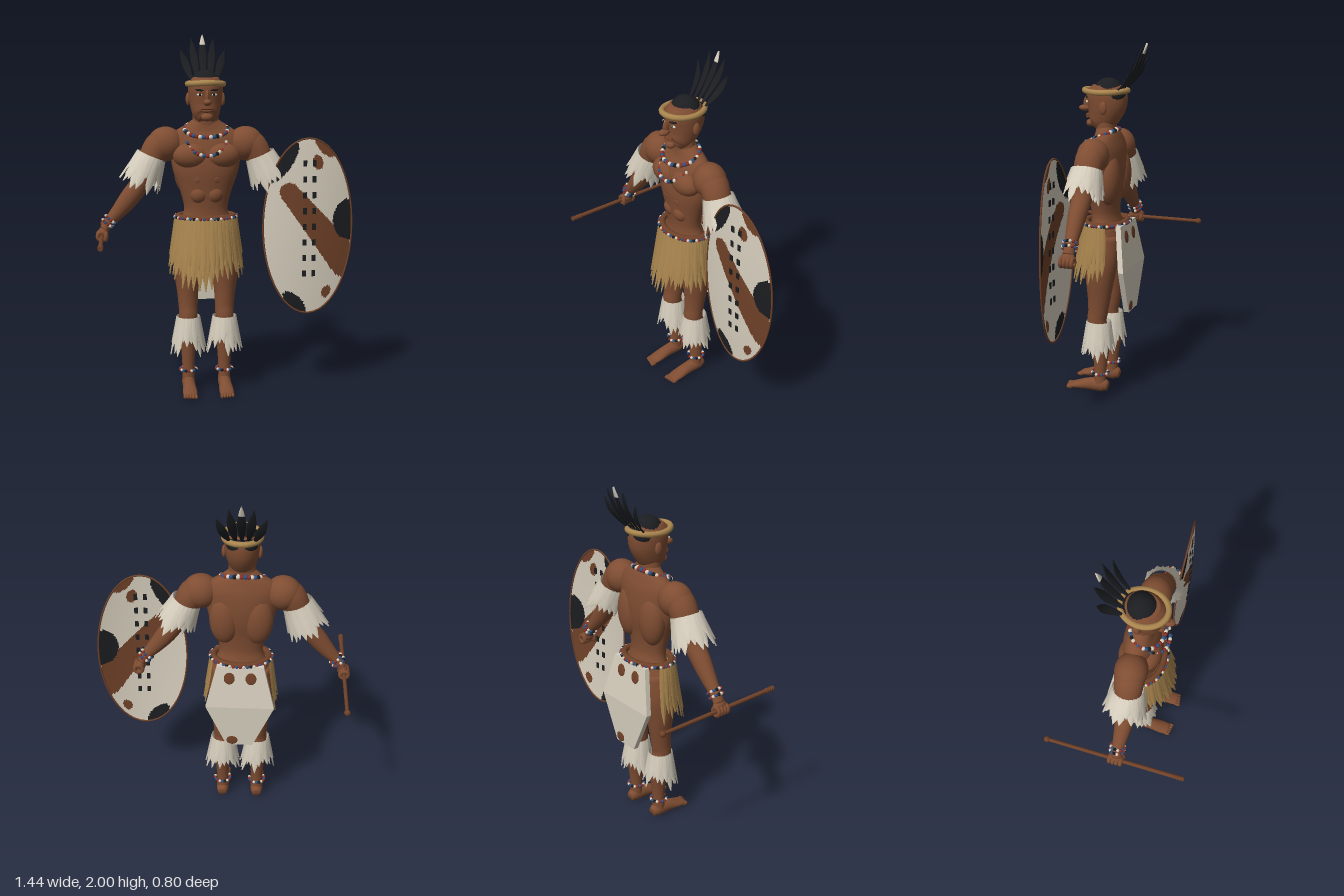
import * as THREE from 'three';
import { ConvexGeometry } from 'three/addons/geometries/ConvexGeometry.js';

const V = (x, y, z) => new THREE.Vector3(x, y, z);
const mat = (name, color, side = THREE.FrontSide) => {
  const m = new THREE.MeshStandardMaterial({ color, side });
  m.name = name;
  return m;
};
const skin = mat('skin', 0x7f4d32);
const hide = mat('cream hide', 0xd6cebd, THREE.DoubleSide);
const brown = mat('brown hide', 0x6f4128, THREE.DoubleSide);
const straw = mat('straw', 0xa9854e, THREE.DoubleSide);
const black = mat('black', 0x1b1d20, THREE.DoubleSide);
const red = mat('red bead', 0x8f2f24);
const blue = mat('blue bead', 0x2f5285);

let seed = 7;
const rand = () => (seed = (seed * 16807) % 2147483647) / 2147483647;

function add(parent, name, geo, material) {
  const m = new THREE.Mesh(geo, material);
  m.name = name;
  parent.add(m);
  return m;
}
const sphere = new THREE.SphereGeometry(1, 24, 16);
const bead = new THREE.SphereGeometry(1, 10, 8);
function ball(parent, name, material, p, r) {
  const m = add(parent, name, sphere, material);
  m.position.set(...p);
  m.scale.set(...r);
  return m;
}

// Smooth closed skin through rings [x, y, z, radius across, radius deep]
function limb(rings, ref = V(0, 0, 1), n = 28) {
  const path = new THREE.CatmullRomCurve3(rings.map(r => V(r[0], r[1], r[2])), false, 'catmullrom');
  const size = new THREE.CatmullRomCurve3(rings.map(r => V(r[3], r[4], 0)), false, 'catmullrom');
  const rows = (rings.length - 1) * 5, pos = [], idx = [];
  for (let i = 0; i <= rows; i++) {
    const c = path.getPoint(i / rows), s = size.getPoint(i / rows), t = path.getTangent(i / rows);
    const w = ref.clone().addScaledVector(t, -ref.dot(t)).normalize();
    const u = t.clone().cross(w);
    for (let j = 0; j < n; j++) {
      const a = j / n * Math.PI * 2;
      const p = c.clone().addScaledVector(u, s.x * Math.cos(a)).addScaledVector(w, s.y * Math.sin(a));
      pos.push(p.x, p.y, p.z);
      const k = i * n + j, l = i * n + (j + 1) % n;
      if (i < rows) idx.push(k, k + n, l, k + n, l + n, l);
    }
  }
  const s = pos.length / 3, last = rows * n;
  pos.push(...rings[0].slice(0, 3), ...rings[rings.length - 1].slice(0, 3));
  for (let j = 0; j < n; j++) {
    const k = (j + 1) % n;
    idx.push(s, j, k, s + 1, last + k, last + j);
  }
  return surface(pos, idx);
}
function surface(pos, idx) {
  const g = new THREE.BufferGeometry();
  g.setAttribute('position', new THREE.Float32BufferAttribute(pos, 3));
  g.setIndex(idx);
  g.computeVertexNormals();
  return g;
}

// Ring of tapering, ridged strips hanging down from y = 0
function fringe(n, a0, a1, top, bot, len, lenMax, wide) {
  const pos = [], idx = [], widths = [1, 1, 0.75, 0.08];
  for (let i = 0; i < n; i++) {
    const a = a0 + (a1 - a0) * (i + 0.5) / n, half = wide * (a1 - a0) / n, L = len(a);
    [0, 0.4, 0.75, 1].forEach((t, row) => {
      for (let k = -1; k <= 1; k++) {
        const g = a + k * half * widths[row], f = t * L / lenMax;
        const out = (k === 0 ? 0.006 : 0) + (i % 2) * 0.006 * t;
        const r = q => THREE.MathUtils.lerp(top[q], bot[q], f) + out;
        pos.push(Math.sin(g) * r(0), -t * L, Math.cos(g) * r(1));
      }
      for (let k = 0; k < 2 && row < 3; k++) {
        const v = i * 12 + row * 3 + k;
        idx.push(v, v + 3, v + 1, v + 3, v + 4, v + 1);
      }
    });
  }
  return surface(pos, idx);
}

// Beads in repeating colours along a closed path f(angle)
function beads(parent, name, f, n, r) {
  const g = new THREE.Group(), cycle = [red, hide, blue, black, hide, red, blue];
  g.name = name;
  for (let i = 0; i < n; i++) {
    const m = add(g, 'bead', bead, cycle[i % 7]);
    m.position.copy(f(i / n * Math.PI * 2));
    m.scale.setScalar(r);
  }
  parent.add(g);
  return g;
}
function hoop(f, r) {
  const pts = Array.from({ length: 24 }, (_, i) => f(i / 24 * Math.PI * 2));
  return new THREE.TubeGeometry(new THREE.CatmullRomCurve3(pts, true), 64, r, 10, true);
}
const ring = (y, rx, rz, z = 0) => a => V(Math.sin(a) * rx, y, z + Math.cos(a) * rz);

function buildTorso(b) {
  add(b, 'torso', limb([[0, 0.9, 0, 0.165, 0.105], [0, 0.98, 0, 0.14, 0.085], [0, 1.05, 0.005, 0.122, 0.075],
    [0, 1.15, 0.008, 0.145, 0.085], [0, 1.25, 0.005, 0.18, 0.1], [0, 1.34, 0, 0.195, 0.1], [0, 1.42, -0.005, 0.2, 0.088],
    [0, 1.47, -0.005, 0.175, 0.072], [0, 1.51, 0, 0.11, 0.06], [0, 1.54, 0.005, 0.07, 0.053]]), skin);
  add(b, 'pelvis', limb([[0, 0.72, 0, 0.12, 0.07], [0, 0.8, 0, 0.165, 0.1], [0, 0.9, 0, 0.165, 0.105], [0, 0.98, 0, 0.14, 0.085]]), skin);
  add(b, 'neck', limb([[0, 1.42, 0, 0.09, 0.055], [0, 1.5, 0.002, 0.076, 0.056], [0, 1.6, 0.005, 0.07, 0.06]]), skin);
  for (const s of [-1, 1]) {
    ball(b, 'chest muscle', skin, [s * 0.085, 1.345, 0.055], [0.1, 0.072, 0.07]);
    ball(b, 'back muscle', skin, [s * 0.09, 1.26, -0.045], [0.085, 0.15, 0.065]);
    for (const y of [1.22, 1.13]) ball(b, 'belly muscle', skin, [s * 0.042, y, 0.055], [0.052, 0.052, 0.045]);
  }
}

function buildHead(b) {
  add(b, 'head', limb([[0, 1.535, 0.06, 0.04, 0.045], [0, 1.56, 0.04, 0.068, 0.075], [0, 1.61, 0.015, 0.084, 0.097],
    [0, 1.67, 0, 0.094, 0.114], [0, 1.73, 0, 0.094, 0.114], [0, 1.77, 0, 0.07, 0.08]]), skin);
  ball(b, 'nose', skin, [0, 1.638, 0.132], [0.023, 0.018, 0.034]);
  ball(b, 'noseBridge', skin, [0, 1.665, 0.118], [0.013, 0.04, 0.022]);
  ball(b, 'upperLip', brown, [0, 1.603, 0.106], [0.034, 0.008, 0.018]);
  ball(b, 'lowerLip', brown, [0, 1.59, 0.107], [0.029, 0.009, 0.017]);
  ball(b, 'chin', skin, [0, 1.556, 0.095], [0.032, 0.022, 0.026]);
  for (const s of [-1, 1]) {
    ball(b, 'ear', skin, [s * 0.096, 1.65, -0.01], [0.013, 0.036, 0.022]);
    ball(b, 'eye', hide, [s * 0.038, 1.678, 0.1], [0.018, 0.008, 0.009]);
    ball(b, 'pupil', black, [s * 0.038, 1.678, 0.106], [0.007, 0.007, 0.005]);
    const brow = ball(b, 'eyebrow', black, [s * 0.04, 1.703, 0.104], [0.025, 0.006, 0.007]);
    brow.rotation.set(0, s * 0.35, s * 0.1);
  }
  ball(b, 'hair', black, [0, 1.715, -0.008], [0.088, 0.096, 0.088]);
  ball(b, 'hairBack', black, [0, 1.715, -0.05], [0.085, 0.055, 0.067]);
  add(b, 'headband', hoop(a => V(Math.sin(a) * 0.098, 1.737 + Math.cos(2 * a) * 0.004, 0.005 + Math.cos(a) * 0.122), 0.016), straw);
  // Fan of feathers behind the headband
  for (let i = -2; i <= 2; i++) {
    const base = V(i * 0.033, 1.745, -0.085), tip = V(i * 0.063, 2.0 - i * i * 0.021, -0.23 + i * i * 0.01);
    const at = t => base.clone().lerp(tip, t).add(V(0, 0, 0.02 * Math.sin(t * Math.PI) * -1)).toArray();
    const rows = [[0, 0.006], [0.25, 0.017], [0.55, 0.023], [0.8, 0.015], [1, 0.002]];
    add(b, 'feather', limb(rows.map(([t, w]) => [...at(t), w, 0.004]), V(0, 0, 1), 10), black);
    if (i === 0) add(b, 'featherTip', limb([[0.78, 0.0175], [0.9, 0.011], [1, 0.003]].map(([t, w]) => [...at(t), w, 0.006]), V(0, 0, 1), 10), hide);
  }
}

function buildArm(b, s) {
  ball(b, 'shoulder', skin, [s * 0.222, 1.405, 0], [0.1, 0.096, 0.088]);
  add(b, 'arm', limb([[0.2, 1.42, 0, 0.085, 0.08], [0.265, 1.385, 0.003, 0.08, 0.08], [0.315, 1.29, 0.008, 0.068, 0.07],
    [0.358, 1.2, 0.012, 0.054, 0.056], [0.42, 1.115, 0.015, 0.054, 0.05], [0.485, 1.035, 0.013, 0.042, 0.04],
    [0.54, 0.975, 0.01, 0.029, 0.031], [0.565, 0.935, 0.01, 0.026, 0.032]].map(r => [r[0] * s, ...r.slice(1)])), skin);
  const cuff = add(b, 'armCuff', fringe(22, 0, Math.PI * 2, [0.078, 0.08], [0.115, 0.118], () => 0.12 + rand() * 0.09, 0.21, 0.95), hide);
  cuff.position.set(s * 0.3, 1.345, 0.006);
  cuff.rotation.z = s * 0.4;
  // Wrist beads
  for (const [x, y] of [[0.528, 0.99], [0.545, 0.968]]) {
    const w = beads(b, 'wristBeads', ring(0, 0.036, 0.038), 14, 0.009);
    w.position.set(s * x, y, 0.01);
    w.rotation.z = s * 0.7;
  }
  // Fist closed around an axis running front to back
  ball(b, 'palm', skin, [s * 0.57, 0.918, 0.01], [0.028, 0.036, 0.042]);
  for (let i = 0; i < 4; i++) {
    const f = add(b, 'finger', new THREE.TorusGeometry(0.022, 0.0115, 8, 20), skin);
    f.position.set(s * 0.58, 0.9, -0.022 + i * 0.021);
  }
  ball(b, 'thumb', skin, [s * 0.556, 0.9, 0.045], [0.013, 0.03, 0.014]);
}

function buildLeg(b, s) {
  const x = s * 0.103;
  add(b, 'leg', limb([[s * 0.088, 0.93, 0, 0.075, 0.095], [s * 0.098, 0.8, 0, 0.087, 0.1], [s * 0.105, 0.69, 0.003, 0.077, 0.084],
    [s * 0.105, 0.58, 0.008, 0.061, 0.068], [x, 0.49, 0.015, 0.054, 0.058], [x, 0.42, 0.022, 0.052, 0.056],
    [x, 0.31, -0.003, 0.047, 0.056], [x, 0.2, 0, 0.038, 0.042], [x, 0.11, 0.003, 0.034, 0.035], [x, 0.03, 0.003, 0.036, 0.036]]), skin);
  add(b, 'foot', limb([[x, 0.032, -0.045, 0.024, 0.024], [x, 0.04, -0.01, 0.036, 0.04], [x, 0.036, 0.07, 0.036, 0.035],
    [x, 0.024, 0.14, 0.041, 0.023], [x, 0.016, 0.19, 0.037, 0.014]], V(0, 1, 0)), skin);
  for (let i = -2; i <= 2; i++) ball(b, 'toe', skin, [x + i * 0.0155, 0.013, 0.19 + s * i * -0.003], [0.0095, 0.012, 0.02]);
  const cuff = add(b, 'legCuff', fringe(22, 0, Math.PI * 2, [0.062, 0.066], [0.098, 0.095], () => 0.13 + rand() * 0.1, 0.23, 0.95), hide);
  cuff.position.set(x, 0.43, 0.012);
  beads(b, 'ankleBeads', ring(0.115, 0.045, 0.046, 0.003), 18, 0.009).position.x = x;
}

function buildClothes(b) {
  for (const [n, len, off] of [[24, 0.26, 0], [29, 0.2, 0.006]]) {
    const skirt = add(b, 'skirt', fringe(n, -1.9, 1.9, [0.165 + off, 0.122 + off], [0.212 + off, 0.19 + off],
      a => len + Math.max(0, Math.cos(a)) * 0.06 + rand() * 0.08, 0.4, 0.8), straw);
    skirt.position.y = 1.0;
  }
  add(b, 'belt', hoop(ring(1.0, 0.155, 0.112), 0.018), brown);
  beads(b, 'beltBeads', ring(1.0, 0.174, 0.131), 56, 0.009);
  // Hide panel hanging at the back
  const pts = [];
  for (const s of [-1, 1]) for (const d of [0, 0.03])
    pts.push(V(s * 0.13, 1.0, -0.128 + d), V(s * 0.192, 0.75, -0.165 + d), V(s * 0.075, 0.49, -0.16 + d));
  add(b, 'backPanel', new ConvexGeometry(pts), hide);
  for (const s of [-1, 1]) ball(b, 'panelSpot', brown, [s * 0.06, 0.93, -0.139], [0.03, 0.036, 0.004]).rotation.x = 0.147;
  ball(b, 'panelSpot', brown, [0.042, 0.522, -0.161], [0.032, 0.028, 0.004]);
  // Two bead necklaces, low in front
  beads(b, 'necklace', a => V(Math.sin(a) * 0.118, 1.487 - Math.cos(a) * 0.038, 0.025 + Math.cos(a) * 0.09), 38, 0.012);
  beads(b, 'longNecklace', a => V(Math.sin(a) * 0.11, 1.44 - Math.cos(a) * 0.09, 0.04 + Math.cos(a) * 0.1), 38, 0.011);
}

// Curved oval shield; each cell of the face takes the colour of its marking
const CX = 0.46, CY = 0.945, RX = 0.253, RY = 0.493;
function shieldPoint(x, y) {
  const u = (x - CX) / RX, v = (y - CY) / RY;
  return V(x, y, 0.106 - 0.0125 * u - 0.035 * u * u - 0.015 * v * v);
}
function marking(x, y) {
  const oval = (cx, cy, a, b, turn = 0) => {
    const c = Math.cos(turn), s = Math.sin(turn), dx = x - cx, dy = y - cy;
    return ((dx * c + dy * s) / a) ** 2 + ((dy * c - dx * s) / b) ** 2 < 1;
  };
  if (oval(0.315, 1.305, 0.135, 0.05, 0.95) || oval(0.695, 0.98, 0.095, 0.115) || oval(0.385, 0.51, 0.085, 0.042, -0.8)) return 2;
  const t = THREE.MathUtils.clamp(((x - 0.35) * 0.33 - (y - 1.14) * 0.4) / 0.2689, 0, 1);
  if (Math.hypot(x - 0.35 - 0.33 * t, y - 1.14 + 0.4 * t) < 0.053 + 0.04 * t) return 1;
  if (oval(0.55, 1.385, 0.07, 0.03, -0.75) || oval(0.51, 1.305, 0.028, 0.042, 0.2) || oval(0.567, 0.57, 0.025, 0.035, -0.3)) return 1;
  return 0;
}
function buildShield(root) {
  const g = new THREE.Group(), R = 60, N = 180, pos = [], idx = [[], [], []];
  g.name = 'shield';
  const at = (i, j) => [CX + RX * i / R * Math.cos(j / N * Math.PI * 2), CY + RY * i / R * Math.sin(j / N * Math.PI * 2)];
  for (let i = 0; i <= R; i++) for (let j = 0; j < N; j++) {
    pos.push(...shieldPoint(...at(i, j)).toArray());
    if (i === R) continue;
    const a = i * N + j, b = i * N + (j + 1) % N;
    const list = idx[marking(...at(i + 0.5, j + 0.5))];
    list.push(a, a + N, b + N);
    if (i > 0) list.push(a, b + N, b);
  }
  [hide, brown, black].forEach((m, k) => add(g, ['shieldFace', 'brownMarkings', 'blackMarkings'][k], surface(pos, idx[k]), m));
  add(g, 'shieldRim', hoop(a => shieldPoint(CX + RX * Math.cos(a), CY + RY * Math.sin(a)), 0.005), brown);
  // Two columns of laced slits
  const slit = new THREE.BoxGeometry(0.021, 0.034, 0.008);
  for (const x of [0.437, 0.49]) for (let i = 0; i < 8; i++)
    add(g, 'slit', slit, black).position.copy(shieldPoint(x, 1.3 - i * 0.0885));
  root.add(g);
}

function buildClub(root) {
  const g = new THREE.Group();
  g.name = 'club';
  g.position.set(-0.685, 0.9, 0);
  add(g, 'shaft', new THREE.CylinderGeometry(0.012, 0.01, 0.8, 16), brown).rotation.x = Math.PI / 2;
  ball(g, 'knob', brown, [0, 0, -0.386], [0.017, 0.017, 0.017]);
  for (let i = 0; i < 4; i++) add(g, 'gripRing', new THREE.TorusGeometry(0.011, 0.004, 8, 16), brown).position.z = 0.345 + i * 0.016;
  root.add(g);
}

export function createModel() {
  const root = new THREE.Group(), body = new THREE.Group();
  root.name = 'warrior';
  body.name = 'body';
  body.position.x = -0.105;
  root.add(body);
  buildTorso(body);
  buildHead(body);
  for (const s of [-1, 1]) { buildArm(body, s); buildLeg(body, s); }
  buildClothes(body);
  buildShield(root);
  buildClub(root);
  return root;
}
